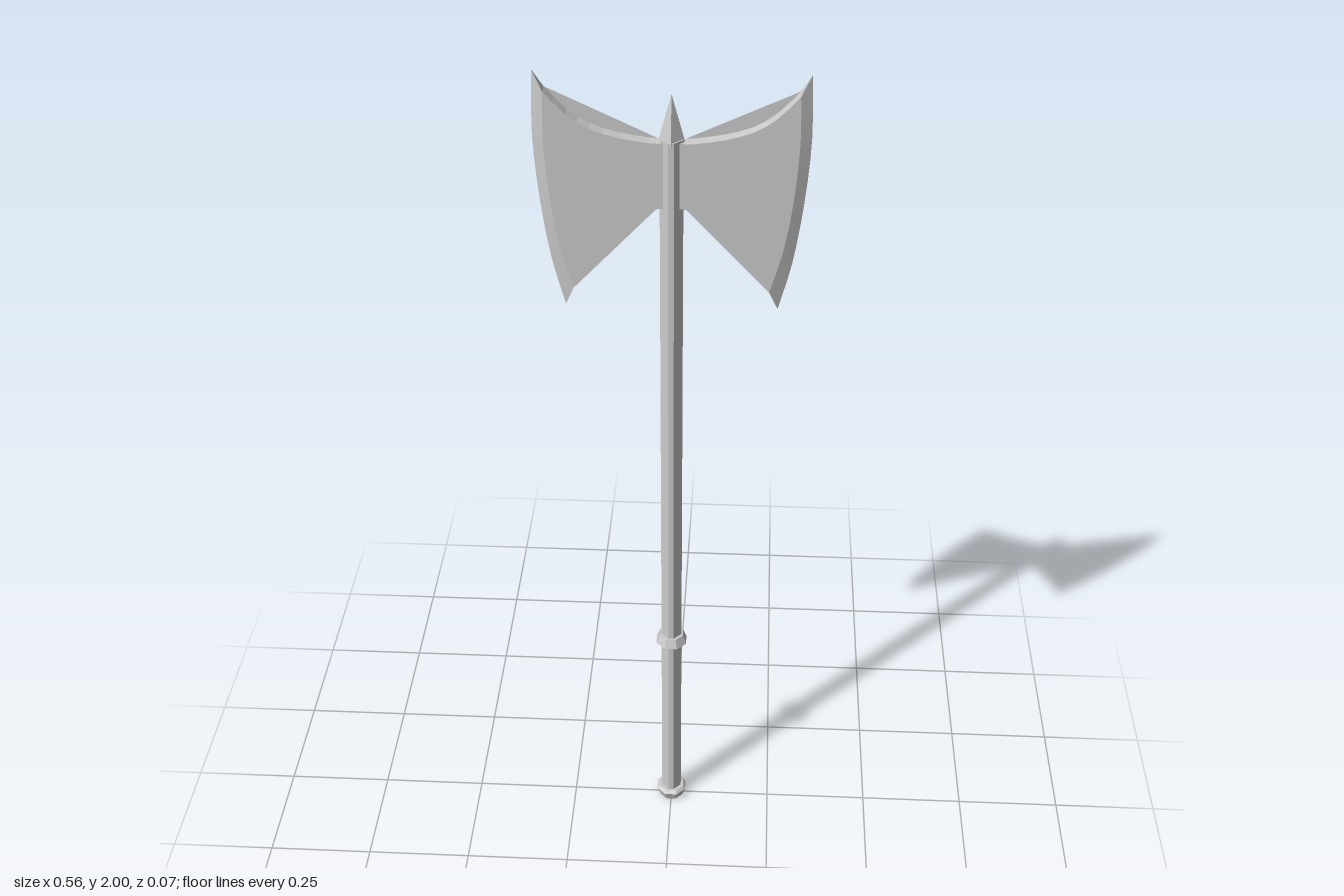
import * as THREE from 'three';

const HALF = 0.0135; // half thickness of the blades
const grey = new THREE.MeshStandardMaterial({ color: 0xcccccc, flatShading: true });
const greyThin = new THREE.MeshStandardMaterial({ color: 0xcccccc, flatShading: true, side: THREE.DoubleSide });

const spline = (pts, n) => new THREE.SplineCurve(pts.map(p => new THREE.Vector2(...p))).getPoints(n);
const mirrored = pts => pts.map(p => new THREE.Vector2(-p.x, p.y)).reverse();

// Blade curves for the +x side
const topCurve = spline([[0.02, 1.85], [0.045, 1.85], [0.106, 1.86], [0.164, 1.878], [0.21, 1.908], [0.254, 1.955]], 10);
const bottomCurve = spline([[0.206, 1.515], [0.185, 1.575], [0.145, 1.638], [0.1, 1.677], [0.048, 1.7], [0.02, 1.705]], 10);
const bevelLine = spline([[0.254, 1.955], [0.257, 1.85], [0.248, 1.72], [0.231, 1.61], [0.206, 1.515]], 12);
const cuttingLine = spline([[0.275, 1.995], [0.28, 1.86], [0.271, 1.72], [0.252, 1.58], [0.225, 1.468]], 12);

function add(group, name, geometry, material = grey) {
  const mesh = new THREE.Mesh(geometry, material);
  mesh.name = name;
  group.add(mesh);
  return mesh;
}

// Eight-sided tapered ring with flats facing the axes
function collar(rBottom, rTop, y0, y1) {
  const k = 1 / Math.cos(Math.PI / 8);
  return new THREE.CylinderGeometry(rTop * k, rBottom * k, y1 - y0, 8, 1, false, Math.PI / 8)
    .translate(0, (y0 + y1) / 2, 0);
}

// Sharpened wedge along the outer edge of one blade
function cuttingEdge(side) {
  const pos = [];
  const tri = (...c) => (side > 0 ? c : c.reverse()).forEach(([p, z]) => pos.push(side * p.x, p.y, z));
  const last = bevelLine.length - 1;
  for (let i = 0; i < last; i++) {
    const [a, b, c, d] = [bevelLine[i], bevelLine[i + 1], cuttingLine[i + 1], cuttingLine[i]];
    tri([a, HALF], [b, HALF], [c, 0]);
    tri([a, HALF], [c, 0], [d, 0]);
    tri([a, -HALF], [c, 0], [b, -HALF]);
    tri([a, -HALF], [d, 0], [c, 0]);
  }
  tri([bevelLine[0], HALF], [cuttingLine[0], 0], [bevelLine[0], -HALF]);
  tri([bevelLine[last], HALF], [bevelLine[last], -HALF], [cuttingLine[last], 0]);
  const geometry = new THREE.BufferGeometry();
  geometry.setAttribute('position', new THREE.Float32BufferAttribute(pos, 3));
  geometry.computeVertexNormals();
  return geometry;
}

export function createModel() {
  const model = new THREE.Group();
  model.name = 'doubleAxe';

  // Shaft: a diamond with narrow flattened corners
  const a = 0.024, b = 0.006;
  const section = new THREE.Shape([[a, -b], [a, b], [b, a], [-b, a], [-a, b], [-a, -b], [-b, -a], [b, -a]]
    .map(p => new THREE.Vector2(...p)));
  add(model, 'shaft', new THREE.ExtrudeGeometry(section, { depth: 1.845, bevelEnabled: false })
    .rotateX(-Math.PI / 2).translate(0, 0.01, 0));

  // Four-sided spike on top
  add(model, 'topSpike', new THREE.ConeGeometry(0.027, 0.1, 4).translate(0, 1.9, 0));

  // Grip ring and pommel
  add(model, 'gripRing', collar(0.036, 0.028, 0.527, 0.55));
  add(model, 'pommel', collar(0.028, 0.036, 0, 0.024));
  add(model, 'pommelCap', collar(0.036, 0.03, 0.024, 0.031));

  // Flat body of both blades
  const right = [...topCurve, ...bevelLine.slice(1), ...bottomCurve.slice(1)];
  const body = new THREE.Shape([...right, ...mirrored(right)]);
  add(model, 'bladeBody', new THREE.ExtrudeGeometry(body, { depth: 2 * HALF, bevelEnabled: false })
    .translate(0, 0, -HALF));

  for (const side of [1, -1]) {
    const blade = new THREE.Group();
    blade.name = side > 0 ? 'leftBlade' : 'rightBlade';
    add(blade, 'cuttingEdge', cuttingEdge(side));
    // Thin webs across the hollows: upper one at the back, lower one at the front
    for (const [name, curve, z] of [['upperWeb', topCurve.slice(1), -HALF], ['lowerWeb', bottomCurve.slice(0, -1), HALF]]) {
      const outline = side > 0 ? curve : mirrored(curve);
      add(blade, name, new THREE.ShapeGeometry(new THREE.Shape(outline)).translate(0, 0, z), greyThin);
    }
    model.add(blade);
  }
  return model;
}
